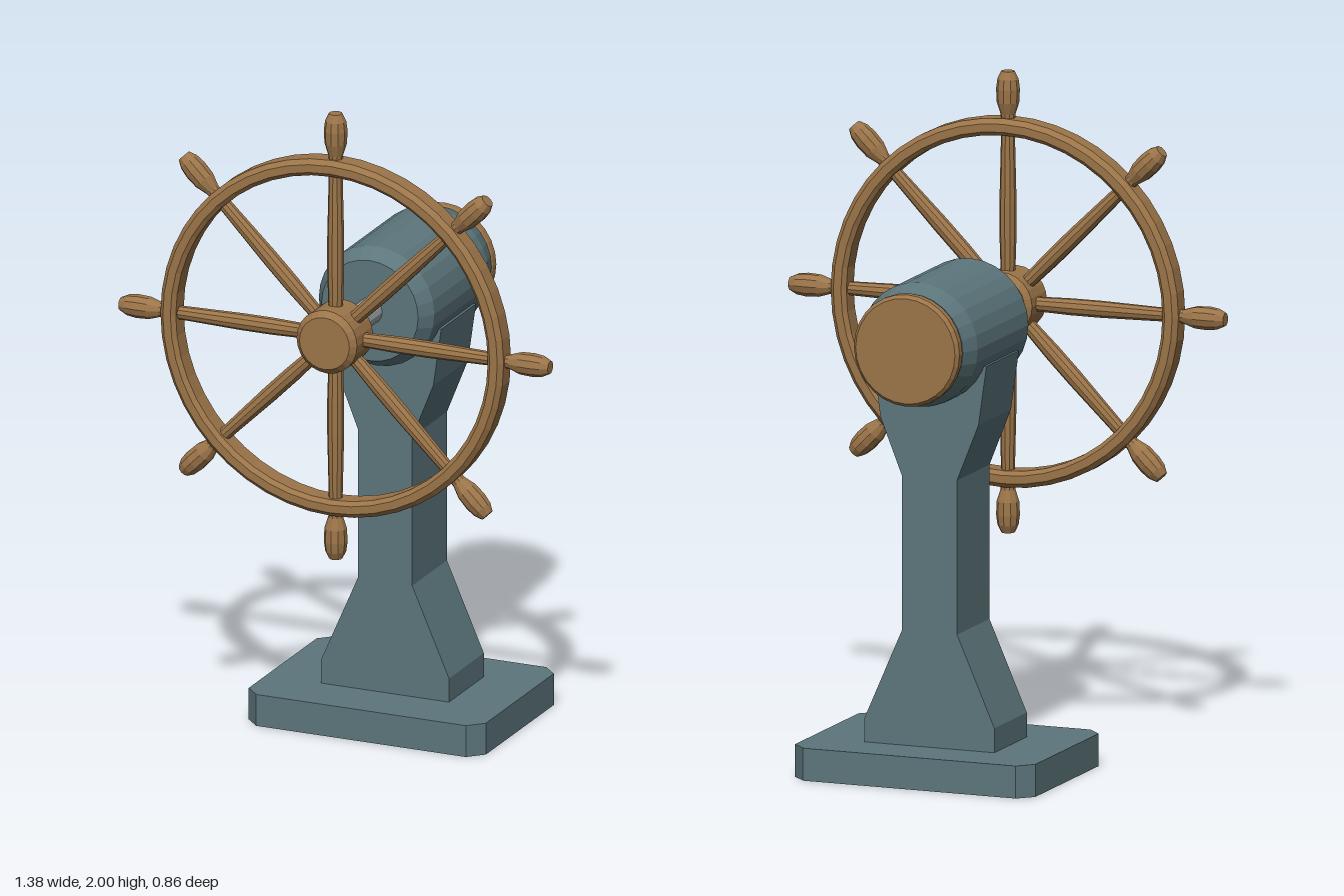
import * as THREE from 'three';

const WHEEL_Y = 1.313, WHEEL_Z = 0.35;

export function createModel() {
  const model = new THREE.Group();
  model.name = 'shipsHelm';

  const material = (name, color) => {
    const m = new THREE.MeshStandardMaterial({ color });
    m.name = name;
    return m;
  };
  const paint = material('slate teal paint', 0x5c767c);
  const wood = material('varnished wood', 0x9c7549);
  const steel = material('shaft steel', 0x9da3a6);

  const add = (parent, name, geometry, mat) => {
    const mesh = new THREE.Mesh(geometry, mat);
    mesh.name = name;
    parent.add(mesh);
    return mesh;
  };

  // Faceted turned part; profile is [radius, height] pairs from bottom to top
  const turned = (profile, sides) => {
    const lathe = new THREE.LatheGeometry(profile.map(([r, h]) => new THREE.Vector2(r, h)), sides);
    const flat = lathe.toNonIndexed();
    flat.computeVertexNormals();
    return flat;
  };
  // Same, with the axis along +z
  const turnedZ = (profile, sides) => turned(profile, sides).rotateX(Math.PI / 2);

  const extrude = (points, depth) => new THREE.ExtrudeGeometry(
    new THREE.Shape(points.map(([x, y]) => new THREE.Vector2(x, y))),
    { depth, bevelEnabled: false });

  // Base plate with cut corners
  const hx = 0.38, z0 = -0.4, z1 = 0.17, c = 0.044;
  const plate = extrude([
    [-hx + c, -z1], [hx - c, -z1], [hx, -z1 + c], [hx, -z0 - c],
    [hx - c, -z0], [-hx + c, -z0], [-hx, -z0 - c], [-hx, -z1 + c],
  ], 0.097);
  add(model, 'basePlate', plate.rotateX(-Math.PI / 2), paint);

  // Pedestal: flared foot, narrow column, spreading cradle
  const side = [[0.205, 0.09], [0.205, 0.17], [0.087, 0.44], [0.087, 0.9], [0.155, 1.07], [0.18, 1.247]];
  const outline = [...side, ...side.map(([x, y]) => [-x, y]).reverse()];
  add(model, 'pedestal', extrude(outline, 0.247).translate(0, 0, -0.247), paint);

  // Drum housing, rear cap and shaft
  const axis = new THREE.Group();
  axis.name = 'steeringGear';
  axis.position.y = WHEEL_Y;
  model.add(axis);
  add(axis, 'drum', turnedZ([
    [0, -0.39], [0.165, -0.39], [0.185, -0.325], [0.185, 0.06], [0.155, 0.108], [0, 0.108],
  ], 28), paint);
  add(axis, 'rearCap', turnedZ([
    [0, -0.431], [0.157, -0.431], [0.167, -0.42], [0.167, -0.398], [0.16, -0.385], [0, -0.385],
  ], 28), wood);
  add(axis, 'shaft', turnedZ([[0.04, 0.1], [0.04, 0.3]], 16), steel);

  // Wheel
  const wheel = new THREE.Group();
  wheel.name = 'wheel';
  wheel.position.set(0, WHEEL_Y, WHEEL_Z);
  model.add(wheel);
  add(wheel, 'rim', turnedZ([
    [0.5, -0.028], [0.512, -0.04], [0.536, -0.04], [0.55, -0.026], [0.55, 0.026],
    [0.536, 0.04], [0.512, 0.04], [0.5, 0.028], [0.5, -0.028],
  ], 48), wood);
  add(wheel, 'hub', turnedZ([
    [0, -0.065], [0.08, -0.065], [0.097, -0.05], [0.097, 0.063], [0.08, 0.08], [0, 0.08],
  ], 24), wood);

  // Eight spokes, each with a turned handle outside the rim
  const spokeGeometry = turned([[0.021, 0.07], [0.025, 0.2], [0.025, 0.3], [0.02, 0.515]], 10);
  const handleGeometry = turned([
    [0.02, 0.535], [0.022, 0.56], [0.033, 0.595], [0.035, 0.635], [0.031, 0.665], [0.02, 0.688], [0, 0.688],
  ], 10);
  for (let i = 0; i < 8; i++) {
    const arm = new THREE.Group();
    arm.name = `arm${i + 1}`;
    arm.rotation.z = i * Math.PI / 4;
    add(arm, 'spoke', spokeGeometry, wood);
    add(arm, 'handle', handleGeometry, wood);
    wheel.add(arm);
  }

  return model;
}
